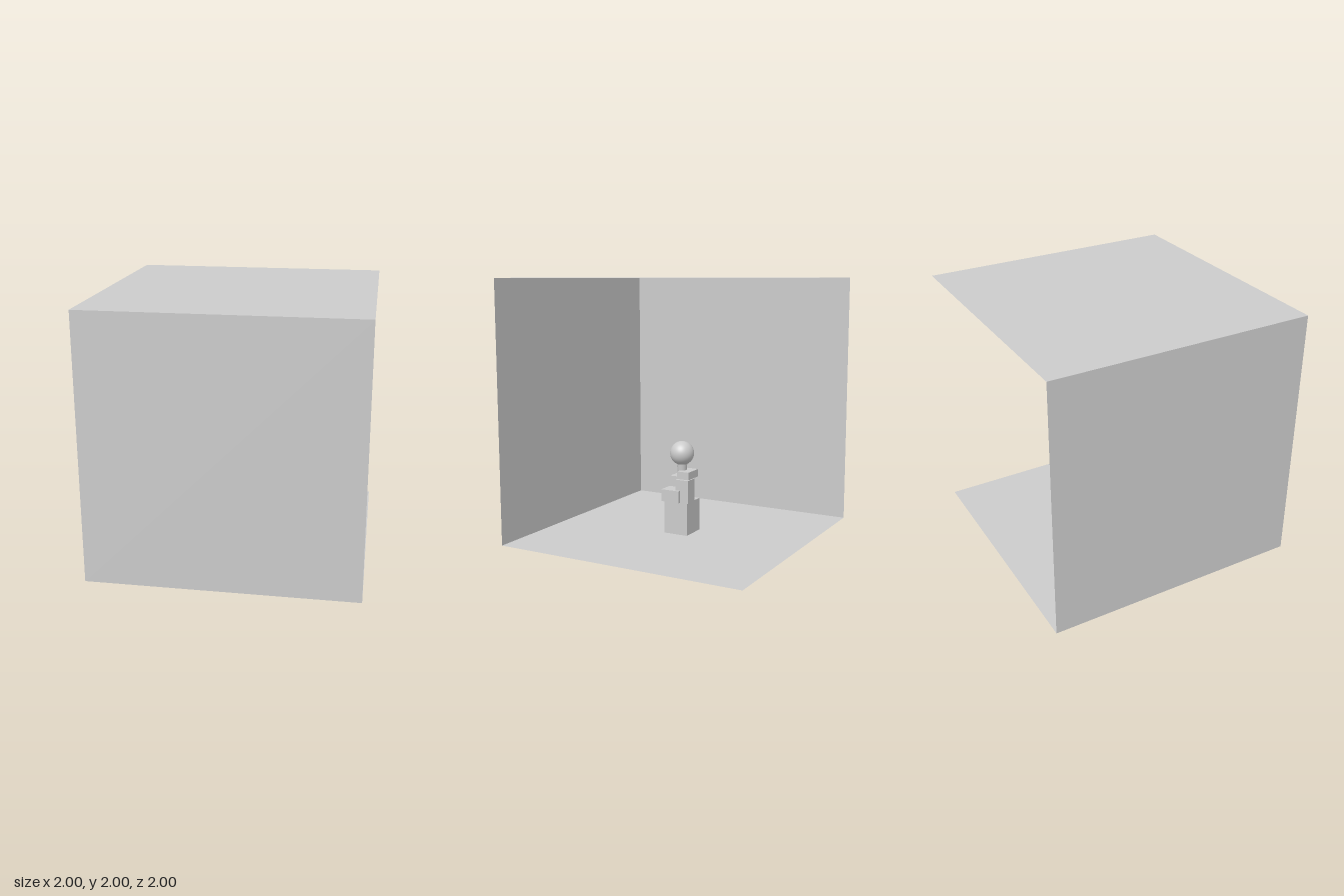
import * as THREE from 'three';

const grey = new THREE.MeshStandardMaterial({ color: 0xcccccc });
const thin = new THREE.MeshStandardMaterial({ color: 0xcccccc, side: THREE.DoubleSide });

export function createModel() {
  const model = new THREE.Group();
  const add = (parent, name, geometry, material = grey) => {
    const mesh = new THREE.Mesh(geometry, material);
    mesh.name = name;
    parent.add(mesh);
    return mesh;
  };

  // Open room: floor, ceiling and two adjoining walls, all without thickness
  const room = new THREE.Group();
  room.name = 'room';
  model.add(room);
  const panel = (name, position, rotation) => {
    const mesh = add(room, name, new THREE.PlaneGeometry(2, 2), thin);
    mesh.position.set(...position);
    mesh.rotation.set(...rotation);
  };
  const q = Math.PI / 2;
  panel('floor', [0, 0, 0], [-q, 0, 0]);
  panel('ceiling', [0, 2, 0], [-q, 0, 0]);
  panel('frontWall', [0, 1, 1], [0, 0, 0]);
  panel('sideWall', [-1, 1, 0], [0, q, 0]);

  // Small stacked sculpture in the middle of the floor
  const sculpture = new THREE.Group();
  sculpture.name = 'sculpture';
  model.add(sculpture);
  const block = (name, [x0, x1], [y0, y1], [z0, z1]) => {
    const mesh = add(sculpture, name, new THREE.BoxGeometry(x1 - x0, y1 - y0, z1 - z0));
    mesh.position.set((x0 + x1) / 2, (y0 + y1) / 2, (z0 + z1) / 2);
  };
  block('base', [-0.105, 0.105], [0, 0.26], [-0.1, 0.1]);
  block('backLeftBlock', [0, 0.107], [0.26, 0.44], [-0.11, 0]);
  block('frontRightBlock', [-0.104, 0], [0.26, 0.44], [0, 0.108]);
  block('frontLeftBlock', [0, 0.13], [0.26, 0.355], [-0.04, 0.115]);
  block('topBlock', [-0.08, 0.08], [0.44, 0.5], [-0.1, 0]);

  // Tapered post carrying the ball
  const post = add(sculpture, 'post', new THREE.CylinderGeometry(0.042, 0.016, 0.3, 32));
  post.position.y = 0.41;
  const ball = add(sculpture, 'ball', new THREE.SphereGeometry(0.095, 40, 28));
  ball.position.y = 0.634;

  return model;
}
